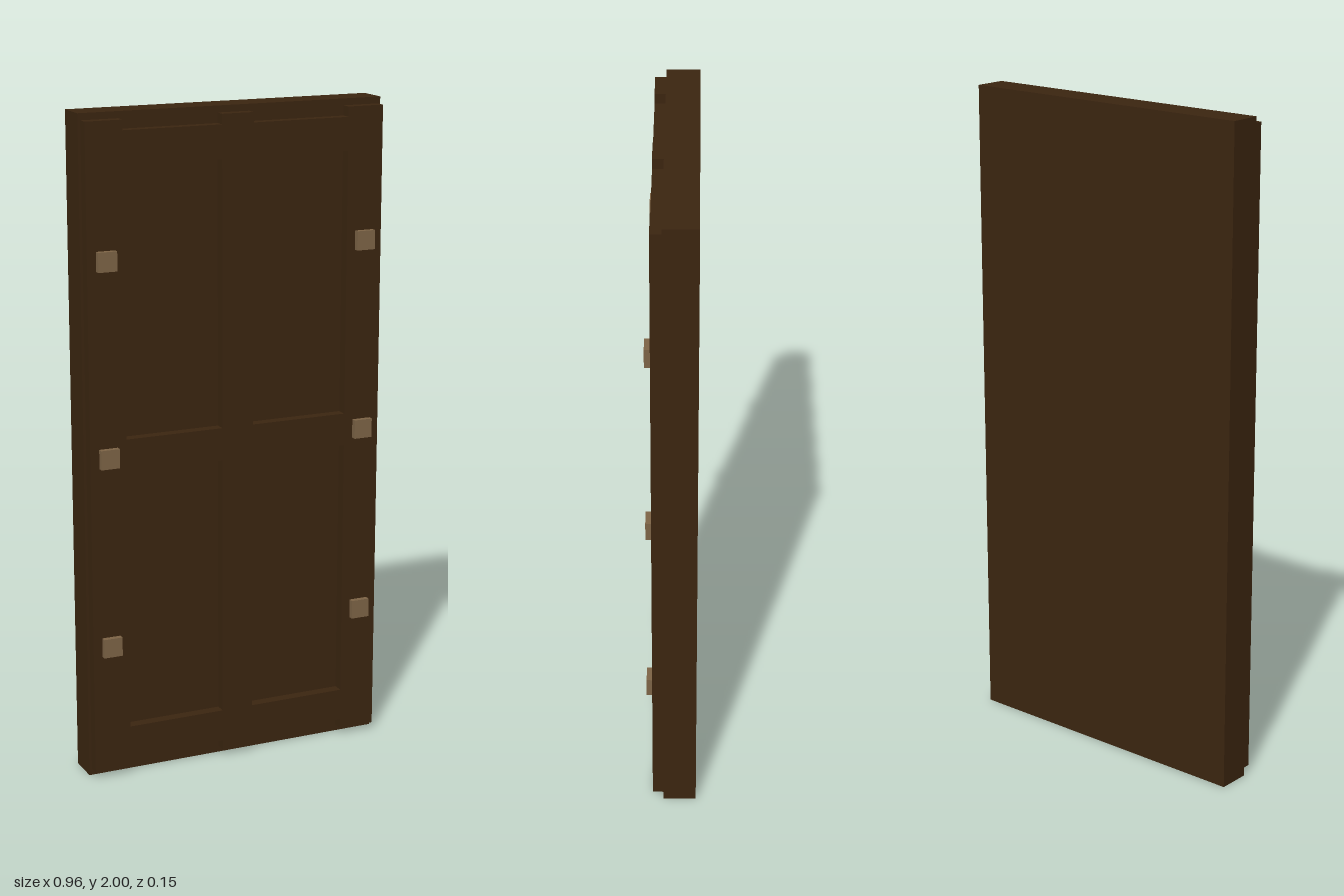
import * as THREE from 'three';

export function createModel() {
  const model = new THREE.Group();
  model.name = 'panelledDoor';
  const wood = new THREE.MeshStandardMaterial({ color: 0x3b2510 });
  wood.name = 'dark wood';
  const metal = new THREE.MeshStandardMaterial({ color: 0x7d6446 });
  metal.name = 'dull bronze';

  // Box given by its limits on each axis
  function box(name, material, [x0, x1], [y0, y1], [z0, z1]) {
    const mesh = new THREE.Mesh(new THREE.BoxGeometry(x1 - x0, y1 - y0, z1 - z0), material);
    mesh.position.set((x0 + x1) / 2, (y0 + y1) / 2, (z0 + z1) / 2);
    mesh.name = name;
    model.add(mesh);
  }

  const slabFront = 0.024, frameFront = 0.057, studFront = 0.074;
  const frameDepth = [slabFront, frameFront];
  const stileHeight = [0.02, 1.98];

  // Door slab
  box('slab', wood, [-0.478, 0.478], [0, 2], [-0.075, slabFront]);

  // Upright stiles
  box('centreStile', wood, [-0.05, 0.05], stileHeight, frameDepth);
  box('rightStile', wood, [-0.47, -0.356], stileHeight, frameDepth);
  box('leftStile', wood, [0.356, 0.47], stileHeight, frameDepth);

  // Cross rails, set between the stiles
  for (const y of [0.1, 1, 1.9]) {
    box('rightRail', wood, [-0.356, -0.05], [y - 0.05, y + 0.05], frameDepth);
    box('leftRail', wood, [0.05, 0.356], [y - 0.05, y + 0.05], frameDepth);
  }

  // Square studs on the outer stiles
  const r = 0.029;
  for (const x of [-0.413, 0.413]) {
    for (const y of [0.418, 1, 1.582]) {
      box('stud', metal, [x - r, x + r], [y - r, y + r], [frameFront, studFront]);
    }
  }
  return model;
}
